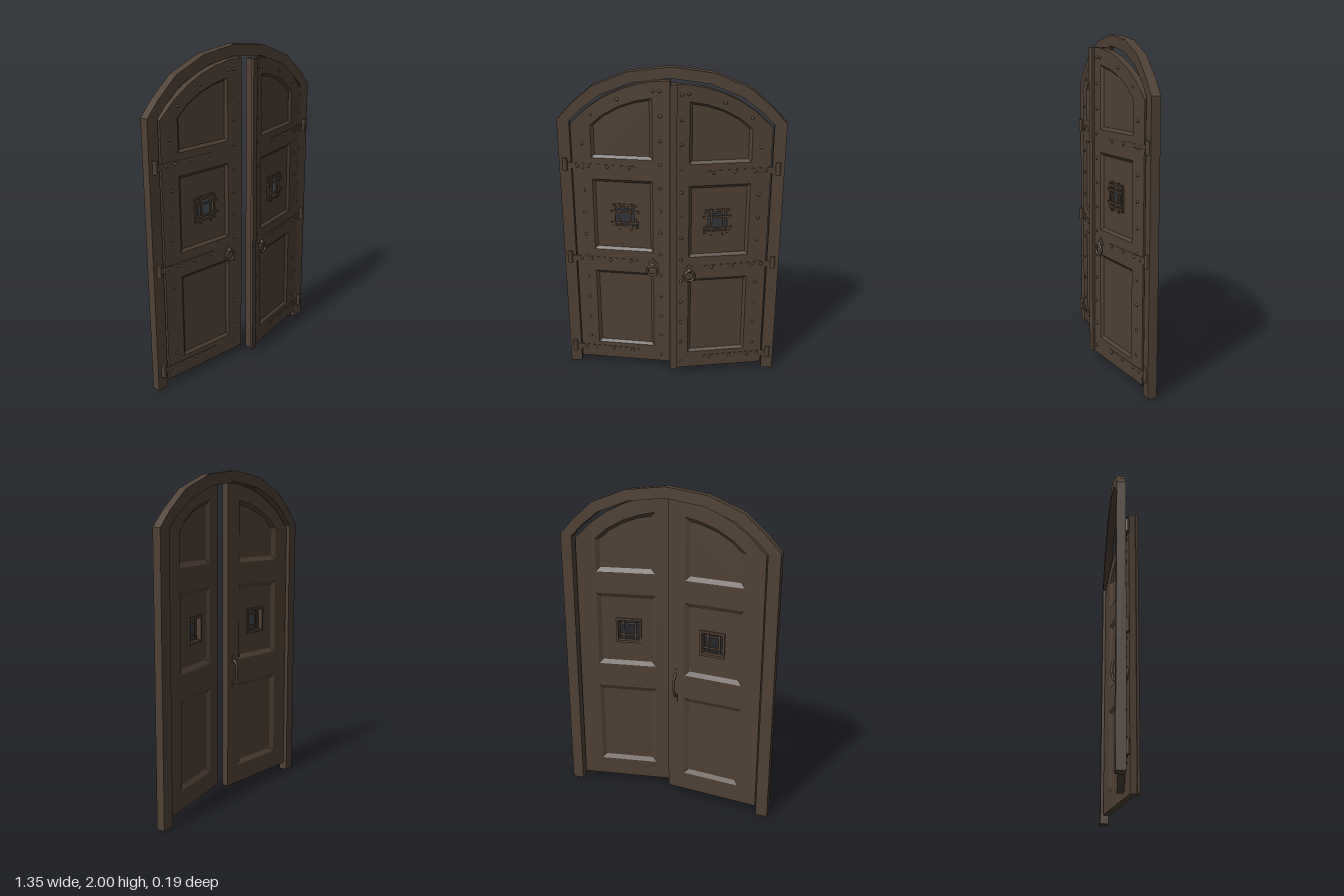
import * as THREE from 'three';

const wood = new THREE.MeshStandardMaterial({ color: 0x4f4034 });
wood.name = 'darkBrown';

const W = 0.594;        // leaf width
const T = 0.042;        // leaf thickness
const HINGE_Z = -0.041; // front plane of a closed leaf
const V = (x, y) => new THREE.Vector2(x, y);

function add(parent, geometry, name, x = 0, y = 0, z = 0) {
  const mesh = new THREE.Mesh(geometry, wood);
  mesh.name = name;
  mesh.position.set(x, y, z);
  parent.add(mesh);
  return mesh;
}

const box = (w, h, d) => new THREE.BoxGeometry(w, h, d);

// Flat slab with optional holes, from z = back to z = front
function slab(points, holes, back, front) {
  const shape = new THREE.Shape(points);
  holes.forEach((h) => shape.holes.push(new THREE.Path(h)));
  const g = new THREE.ExtrudeGeometry(shape, { depth: front - back, bevelEnabled: false });
  return g.translate(0, 0, back);
}

const rect = (x0, x1, y0, y1) => [V(x0, y0), V(x1, y0), V(x1, y1), V(x0, y1)];

// Sloped moulding between an outline and its inset copy
function moulding(outline, inset, z0, z1) {
  const pts = THREE.ShapeUtils.isClockWise(outline) ? [...outline].reverse() : outline;
  const b = new THREE.Box2().setFromPoints(pts);
  const c = b.getCenter(V(0, 0)), s = b.getSize(V(0, 0));
  const inner = pts.map((p) => V(
    c.x + (p.x - c.x) * (1 - 2 * inset / s.x),
    c.y + (p.y - c.y) * (1 - 2 * inset / s.y)));
  const pos = [];
  pts.forEach((p, i) => {
    const j = (i + 1) % pts.length;
    const q = [[p.x, p.y, z0], [pts[j].x, pts[j].y, z0],
      [inner[j].x, inner[j].y, z1], [inner[i].x, inner[i].y, z1]];
    const order = z0 > z1 ? [0, 1, 2, 0, 2, 3] : [0, 2, 1, 0, 3, 2];
    order.forEach((k) => pos.push(...q[k]));
  });
  const g = new THREE.BufferGeometry();
  g.setAttribute('position', new THREE.Float32BufferAttribute(pos, 3));
  g.computeVertexNormals();
  return g;
}

// Stone-like arched surround with two posts
function makeFrame() {
  const outer = [V(0.675, 0), V(0.675, 1.68), V(0.593, 1.77), V(0.46, 1.884), V(0.25, 1.968)];
  const inner = [V(0.602, 0), V(0.602, 1.672), V(0.535, 1.74), V(0.42, 1.83), V(0.23, 1.905)];
  const flip = (a) => a.map((p) => V(-p.x, p.y)).reverse();
  const points = [...outer, V(0, 2), ...flip(outer),
    ...flip(inner).reverse(), V(0, 1.935), ...[...inner].reverse()];
  return slab(points, [], -0.1, -0.047);
}

// One door leaf; s = 1 for the +x side, -1 for the -x side
function makeLeaf(s) {
  const pivot = new THREE.Group();
  pivot.position.set(s * W, 0, HINGE_Z);
  const leaf = new THREE.Group();
  leaf.position.x = -s * W;
  pivot.add(leaf);
  const side = (pts) => pts.map((p) => V(s * p.x, p.y));

  // Slab with an arched top and three panel openings
  const arch = [];
  for (let i = 0; i <= 6; i++) {
    const x = W * (1 - i / 6);
    arch.push(V(x, 1.145 + Math.sqrt(0.785 ** 2 - x * x)));
  }
  const outline = side([V(0, 0.05), V(W, 0.05), ...arch]);
  const panels = [
    rect(0.106, 0.475, 0.165, 0.7),
    rect(0.106, 0.475, 0.852, 1.32),
    [V(0.106, 1.455), V(0.475, 1.455), V(0.475, 1.655), V(0.4, 1.72), V(0.3, 1.775), V(0.2, 1.81), V(0.106, 1.828)],
  ].map(side);
  add(leaf, slab(outline, panels, -T, 0), 'leafSlab');

  // Recessed panels with mouldings on both faces
  const cx = s * 0.28, cy = 1.08;
  const opening = rect(cx - 0.066, cx + 0.066, cy - 0.066, cy + 0.066);
  panels.forEach((p, i) => {
    add(leaf, slab(p, i === 1 ? [opening] : [], -0.027, -0.013), 'panel');
    add(leaf, moulding(p, 0.017, 0, -0.013), 'frontMoulding');
    add(leaf, moulding(p, 0.026, -T, -0.027), 'backMoulding');
  });

  // Window surround and grille
  add(leaf, slab(rect(cx - 0.08, cx + 0.08, cy - 0.08, cy + 0.08), [opening], -0.036, -0.007), 'windowSurround');
  for (const d of [-0.037, 0.037]) {
    add(leaf, box(0.012, 0.175, 0.008), 'grilleBar', cx + d, cy, -0.003);
    add(leaf, box(0.175, 0.012, 0.008), 'grilleBar', cx, cy + d, 0.002);
  }
  for (const d of [-0.064, 0.064]) {
    add(leaf, box(0.01, 0.15, 0.008), 'grilleEdge', cx + d, cy, -0.003);
    add(leaf, box(0.15, 0.01, 0.008), 'grilleEdge', cx, cy + d, -0.003);
  }

  // Rivets along both edges and under the arch
  const stud = new THREE.SphereGeometry(0.01, 8, 6);
  stud.scale(1, 1, 0.7);
  const rivet = (x, y, z = 0) => add(leaf, stud, 'rivet', s * x, y, z);
  for (let i = 0; i < 13; i++) rivet(0.06, 0.1 + i * 0.1475);
  for (let i = 0; i < 10; i++) rivet(0.53, 0.21 + i * 0.148);
  [[0.47, 1.72], [0.31, 1.815], [0.1, 1.87]].forEach(([x, y]) => rivet(x, y));

  // Strap hinges with tapering straps
  for (const y of [0.12, 0.78, 1.4]) {
    const strap = side([V(0.64, y - 0.02), V(0.64, y + 0.02), V(0.3, y + 0.013),
      V(0.22, y + 0.013), V(0.2, y), V(0.22, y - 0.013), V(0.3, y - 0.013)]);
    add(leaf, slab(strap, [], -0.001, 0.003), 'hingeStrap');
    [0.565, 0.5, 0.38, 0.25].forEach((x) => rivet(x, y, 0.003));
    add(leaf, new THREE.CylinderGeometry(0.015, 0.015, 0.078, 10), 'hingeKnuckle', s * 0.638, y + 0.008, 0.004);
  }

  // Ring pull on a diamond plate
  const hx = s * 0.11;
  const plate = add(leaf, box(0.05, 0.05, 0.005), 'ringPlate', hx, 0.77, 0.002);
  plate.rotation.z = Math.PI / 4;
  add(leaf, new THREE.SphereGeometry(0.014, 10, 8), 'ringBoss', hx, 0.765, 0.01);
  add(leaf, new THREE.TorusGeometry(0.033, 0.007, 8, 20), 'ringPull', hx, 0.73, 0.016);

  if (s > 0) {
    // Cover strip over the meeting edge
    add(leaf, box(0.042, 1.88, 0.016), 'coverStrip', 0.01, 0.99, 0.008);
  } else {
    // Curved pull handle on the back
    const y = 0.78, x = -0.05;
    const curve = new THREE.CatmullRomCurve3([[-0.075, 0], [-0.06, 0.022], [0, 0.032], [0.06, 0.022], [0.075, 0]]
      .map(([dy, dz]) => new THREE.Vector3(x, y + dy, -T - dz)));
    add(leaf, new THREE.TubeGeometry(curve, 16, 0.008, 8), 'backHandle');
    for (const d of [-0.085, 0.085]) add(leaf, box(0.022, 0.045, 0.006), 'handlePlate', x, y + d, -T - 0.002);
  }
  return pivot;
}

export function createModel() {
  const model = new THREE.Group();
  model.name = 'archedDoubleDoor';
  add(model, makeFrame(), 'archFrame');

  const leftLeaf = makeLeaf(1);
  leftLeaf.name = 'leftLeaf';
  leftLeaf.rotation.y = 0.195;
  const rightLeaf = makeLeaf(-1);
  rightLeaf.name = 'rightLeaf';
  rightLeaf.rotation.y = -0.068;
  model.add(leftLeaf, rightLeaf);
  return model;
}
